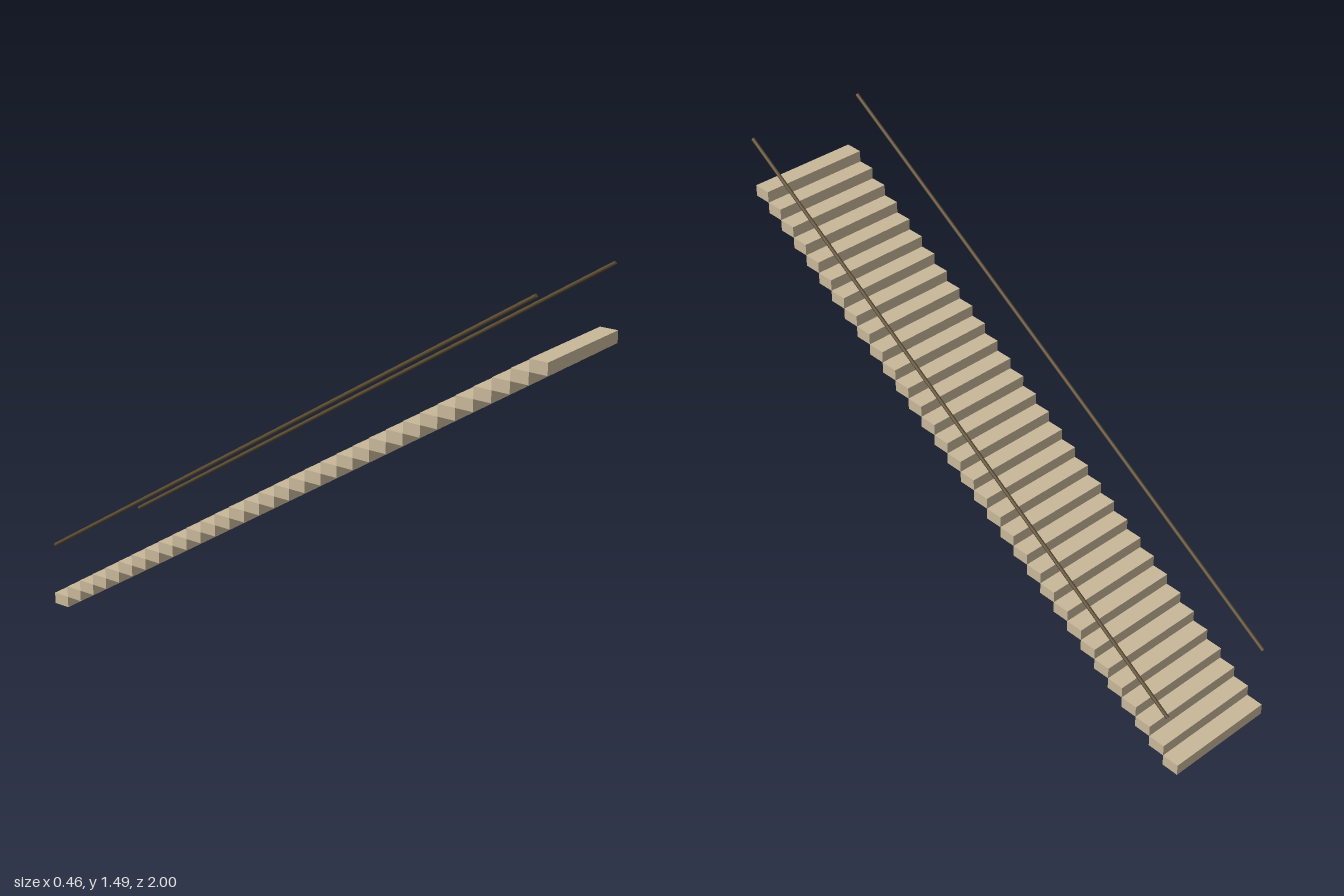
import * as THREE from 'three';

const STEPS = 32;
const WIDTH = 0.4;
const DEPTH = 2 / STEPS;
const RISE = 1.29 / STEPS;

export function createModel() {
  const stone = new THREE.MeshStandardMaterial({ color: 0xc8b89a });
  stone.name = 'pale stone';
  const bronze = new THREE.MeshStandardMaterial({ color: 0x5c4c30 });
  bronze.name = 'dark bronze';

  const model = new THREE.Group();
  model.name = 'staircase';

  // Block steps climbing from the back (-z) to the front (+z)
  const steps = new THREE.Group();
  steps.name = 'steps';
  const stepGeometry = new THREE.BoxGeometry(WIDTH, RISE, DEPTH);
  for (let i = 0; i < STEPS; i++) {
    const step = new THREE.Mesh(stepGeometry, stone);
    step.name = `step${i + 1}`;
    step.position.set(0, (i + 0.5) * RISE, -1 + (i + 0.5) * DEPTH);
    steps.add(step);
  }
  model.add(steps);

  // Round handrails parallel to the flight, one on each side
  const low = new THREE.Vector3(0, 0.241, -0.967);
  const high = new THREE.Vector3(0, 1.488, 0.967);
  const along = high.clone().sub(low);
  const railGeometry = new THREE.CylinderGeometry(0.0063, 0.0063, along.length(), 8);
  for (const side of [1, -1]) {
    const rail = new THREE.Mesh(railGeometry, bronze);
    rail.name = side > 0 ? 'leftHandrail' : 'rightHandrail';
    rail.position.copy(low).add(high).multiplyScalar(0.5);
    rail.position.x = side * 0.2225;
    rail.quaternion.setFromUnitVectors(new THREE.Vector3(0, 1, 0), along.clone().normalize());
    model.add(rail);
  }

  return model;
}
